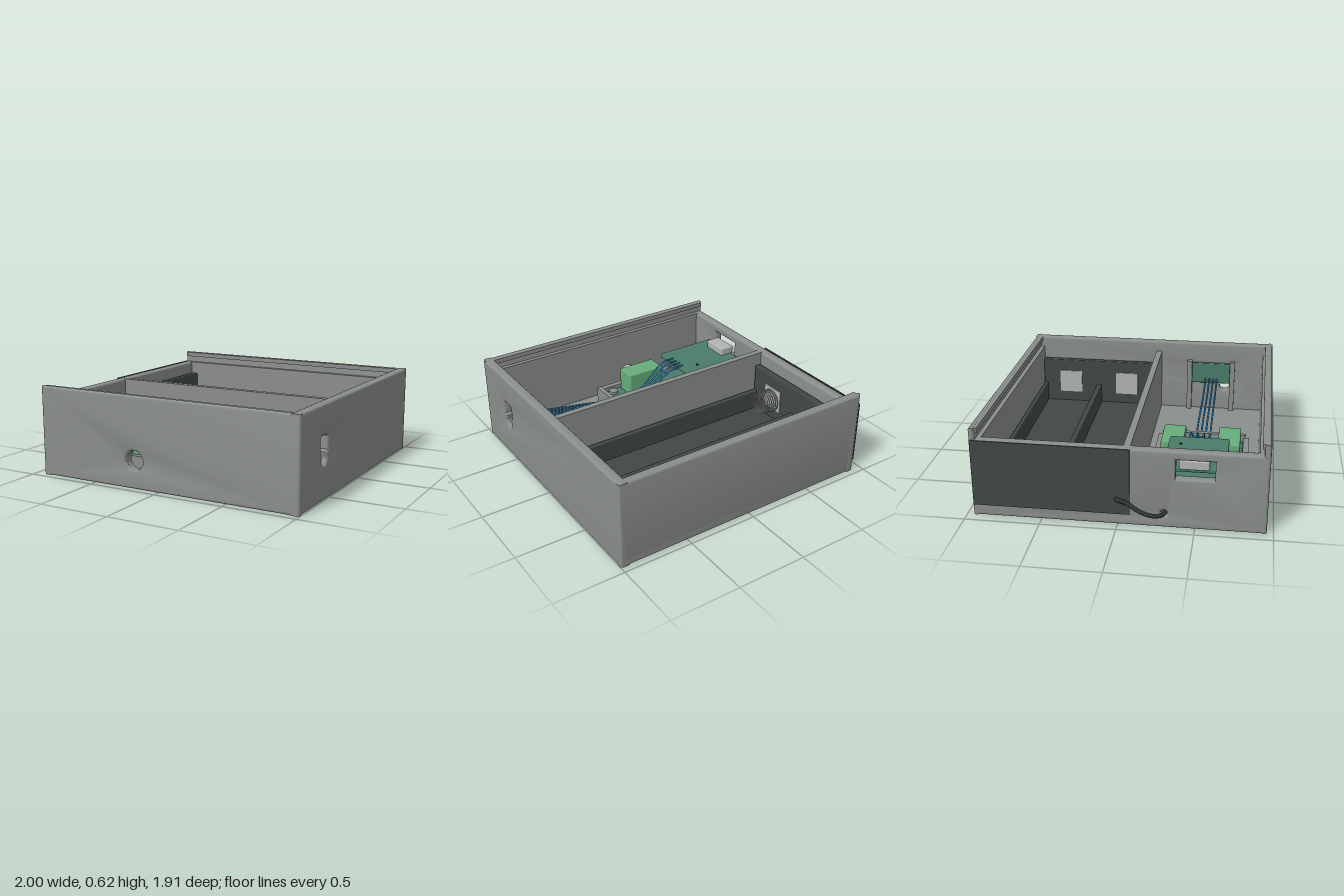
import * as THREE from 'three';
import { toCreasedNormals } from 'three/addons/utils/BufferGeometryUtils.js';
import { RoundedBoxGeometry } from 'three/addons/geometries/RoundedBoxGeometry.js';

const mat = (name, color) => Object.assign(new THREE.MeshStandardMaterial({ color }), { name });

export function createModel() {
  const root = new THREE.Group();
  root.name = 'batteryCase';
  const grey = mat('case grey', 0x8a8e8c);
  const dark = mat('tray charcoal', 0x414747);
  const black = mat('cable black', 0x303535);
  const board = mat('board green', 0x4a7c6a);
  const lime = mat('component green', 0x66ad7c);
  const silver = mat('metal silver', 0xb2b4b4);
  const blue = mat('wire blue', 0x2f86b8);

  const add = (name, geo, material, parent = root) => {
    const m = new THREE.Mesh(geo, material);
    m.name = name;
    parent.add(m);
    return m;
  };
  // Box given by its minimum and maximum on each axis
  const box = (name, material, x0, x1, y0, y1, z0, z1, r = 0) => {
    const s = [x1 - x0, y1 - y0, z1 - z0];
    const g = r ? new RoundedBoxGeometry(...s, 2, r) : new THREE.BoxGeometry(...s);
    g.translate((x0 + x1) / 2, (y0 + y1) / 2, (z0 + z1) / 2);
    return add(name, g, material);
  };
  const rect = (x0, x1, y0, y1, holes = []) => {
    const s = new THREE.Shape([[x0, y0], [x1, y0], [x1, y1], [x0, y1]].map(p => new THREE.Vector2(...p)));
    s.holes.push(...holes);
    return s;
  };
  const circle = (x, y, r) => new THREE.Path().absarc(x, y, r, 0, Math.PI * 2, true);
  // Plate extruded along z from 0 to t, with rounded edges of radius b
  const plate = (shape, t, b = 0) => {
    const g = new THREE.ExtrudeGeometry(shape, {
      depth: t - 2 * b, bevelEnabled: b > 0, bevelThickness: b, bevelSize: b,
      bevelOffset: -b, bevelSegments: 3, curveSegments: 20,
    });
    return toCreasedNormals(g.translate(0, 0, b), 0.6);
  };

  // Case: floor, then four walls that share rounded outer corners
  const X0 = -0.93, X1 = 1, Z = 0.957, H = 0.62, B = 0.016, LOW = 0.54;
  box('caseFloor', grey, X0, X1, 0, 0.07, -Z, Z, B);
  const port = () => [circle(-0.18, 0.19, 0.067)];
  add('frontWall', plate(rect(X0, X1, 0, H, port()), 0.04, B).translate(0, 0, Z - 0.04), grey);
  add('frontWallLiner', plate(rect(X0 + 0.02, X1 - 0.02, 0.02, LOW, port()), 0.045).translate(0, 0, Z - 0.07), grey);
  add('backWall', plate(rect(X0, X1, 0, H), 0.04, B).translate(0, 0, -Z), grey);
  box('backWallLiner', grey, X0 + 0.02, X1 - 0.02, 0.02, LOW, -Z + 0.02, -Z + 0.07);
  for (const s of [-1, 1]) {
    // Lip above the groove for the sliding lid
    const a = s * (Z - 0.055), b = s * (Z - 0.02);
    box('lidLip', grey, X0 + 0.015, X1 - 0.015, 0.585, H - 0.002, Math.min(a, b), Math.max(a, b));
  }

  // Key-shaped opening in the left wall
  const c = -0.59, key = new THREE.Path();
  key.absarc(c, 0.27, 0.04, Math.PI * 5 / 6, Math.PI * 13 / 6, false);
  for (const [x, y] of [[0.035, 0.305], [0.055, 0.32], [0.055, 0.408], [0.043, 0.42],
    [-0.043, 0.42], [-0.055, 0.408], [-0.055, 0.32], [-0.035, 0.305]]) key.lineTo(c + x, y);
  key.closePath();
  add('leftWall', plate(rect(-Z, Z, 0, H, [key]), 0.07, B).rotateY(Math.PI / 2).translate(X1 - 0.07, 0, 0), grey);
  const usbHole = new THREE.Path([[-0.62, 0.35], [-0.37, 0.35], [-0.37, 0.48], [-0.62, 0.48]].map(p => new THREE.Vector2(...p)));
  add('rightWall', plate(rect(-Z, Z, 0, LOW, [usbHole, circle(-0.3, 0.1, 0.022)]), 0.07, B)
    .rotateY(Math.PI / 2).translate(X0, 0, 0), grey);
  box('partition', grey, X0 + 0.05, X1 - 0.05, 0.05, LOW, 0.035, 0.08);

  // Outer side panel
  box('sidePanel', dark, -0.939, -0.93, 0.08, 0.54, -0.95, 0.08);

  // Battery tray
  box('trayFloor', dark, -0.85, 0.92, 0.07, 0.1, -0.885, 0.025);
  for (const [x0, x1] of [[-0.85, -0.8], [0.87, 0.92]])
    box('trayEnd', dark, x0, x1, 0.07, 0.45, -0.885, 0.025, 0.008);
  for (const [z0, z1] of [[-0.885, -0.855], [-0.45, -0.41], [-0.01, 0.025]])
    box('trayRib', dark, -0.83, 0.9, 0.07, 0.25, z0, z1, 0.008);

  // Battery contacts and springs
  for (const z of [-0.66, -0.2]) {
    box('springPlate', silver, -0.801, -0.793, 0.18, 0.36, z - 0.09, z + 0.09);
    box('contactPlate', silver, 0.862, 0.871, 0.18, 0.36, z - 0.09, z + 0.09);
    const pts = [];
    for (let i = 0; i <= 112; i++) {
      const a = i / 16 * Math.PI * 2, r = 0.082 - 0.012 * i / 112;
      pts.push(new THREE.Vector3(-0.79 + 0.12 * i / 112, 0.26 + r * Math.sin(a), z + r * Math.cos(a)));
    }
    add('spring', new THREE.TubeGeometry(new THREE.CatmullRomCurve3(pts), 224, 0.005, 6), silver);
  }

  // Main board with its cradle
  for (const [z0, z1] of [[0.15, 0.197], [0.773, 0.815]])
    box('boardRail', grey, -0.87, 0.13, 0.06, 0.18, z0, z1);
  box('boardStop', grey, 0.122, 0.155, 0.06, 0.2, 0.18, 0.79);
  box('mainBoard', board, -0.845, 0.12, 0.125, 0.155, 0.2, 0.77, 0.006);
  for (const x of [-0.32, 0.05]) for (const z of [0.24, 0.72]) {
    add('standoff', new THREE.CylinderGeometry(0.055, 0.055, 0.07, 24).translate(x, 0.09, z), grey);
    add('boardPin', new THREE.CylinderGeometry(0.036, 0.036, 0.1, 24).translate(x, 0.125, z), grey);
  }
  for (const z of [0.21, 0.6])
    box('terminalBlock', lime, -0.33, -0.035, 0.155, 0.33, z, z + 0.155, 0.01);

  // Raised charging module
  box('chargerModule', board, -0.845, -0.37, 0.36, 0.395, 0.28, 0.685, 0.012);
  box('usbSocket', silver, -0.862, -0.75, 0.385, 0.45, 0.385, 0.58, 0.01);
  add('indicator', new THREE.CylinderGeometry(0.01, 0.01, 0.008, 12).translate(-0.5, 0.398, 0.365), black);

  // Small switch board held in brackets on the left wall
  for (const z of [0.29, 0.632])
    box('switchBracket', grey, 0.89, 0.94, 0.06, 0.48, z, z + 0.038);
  box('switchBoard', board, 0.88, 0.915, 0.305, 0.47, 0.33, 0.632, 0.008);
  box('switchButton', black, 0.91, 0.935, 0.345, 0.378, 0.573, 0.607);

  // Blue wires
  const tube = (name, pts, r, material, n = 24) => add(name,
    new THREE.TubeGeometry(new THREE.CatmullRomCurve3(pts.map(p => new THREE.Vector3(...p))), n, r, 8), material);
  for (let i = 0; i < 4; i++) {
    const z = 0.415 + i * 0.045, e = 0.43 + i * 0.033;
    tube('moduleWire', [[-0.4, 0.4, z], [-0.3, 0.39, z], [-0.1, 0.25, e], [0.05, 0.16, e]], 0.007, blue);
    tube('switchWire', [[0.11, 0.16, e], [0.2, 0.21, e], [0.6, 0.29, 0.44 + i * 0.03], [0.885, 0.34, 0.44 + i * 0.03]], 0.007, blue);
  }

  // Power cable looping outside the right wall
  tube('powerCable', [[-0.93, 0.19, -0.005], [-0.95, 0.19, 0.0], [-0.957, 0.175, 0.06], [-0.985, 0.135, 0.15],
    [-0.985, 0.11, 0.22], [-0.96, 0.1, 0.28], [-0.92, 0.095, 0.3], [-0.85, 0.1, 0.3]], 0.014, black, 48);
  return root;
}
